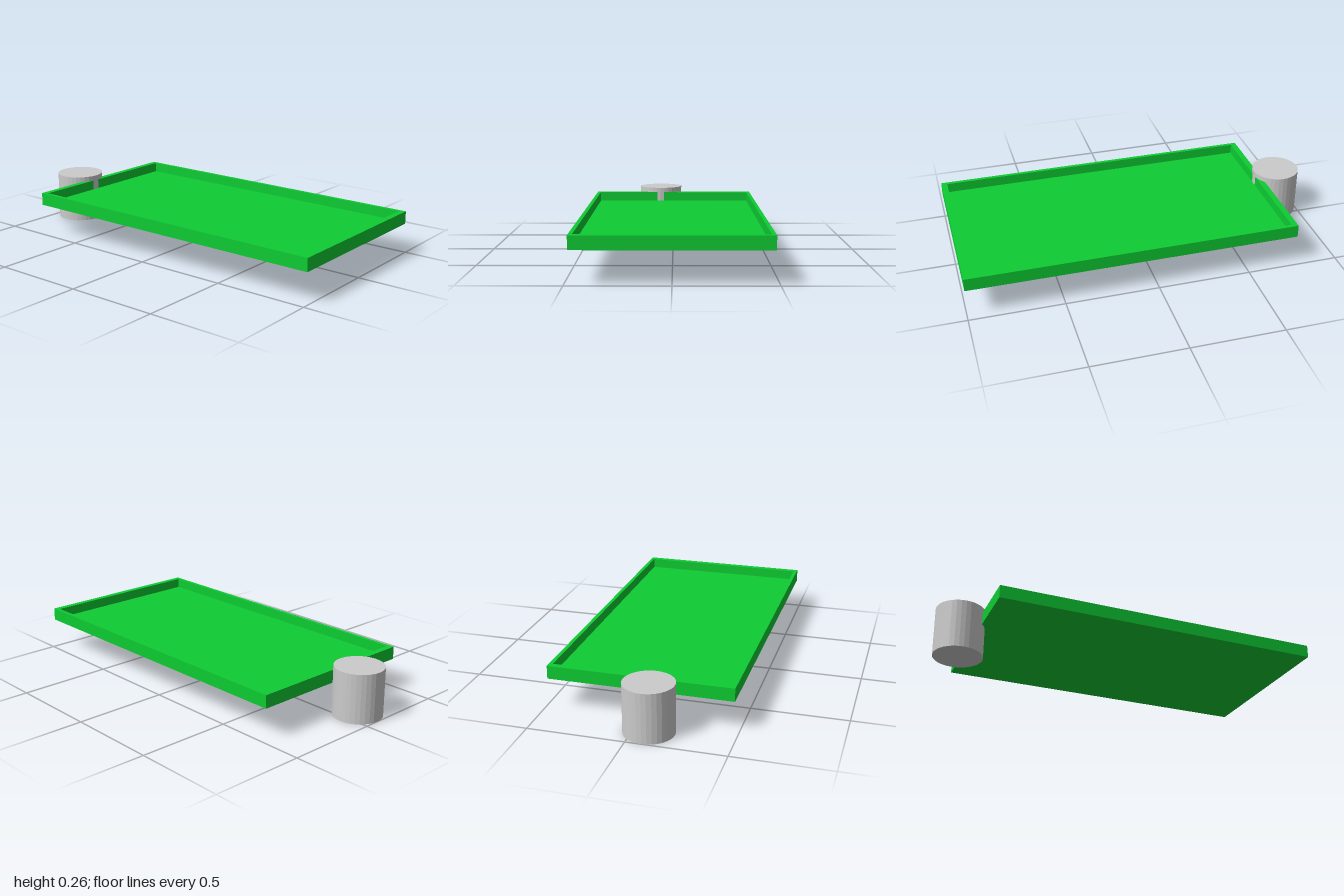
import * as THREE from 'three';

export function createModel() {
  const model = new THREE.Group();
  const green = new THREE.MeshStandardMaterial({ color: 0x0ecc33 });
  const grey = new THREE.MeshStandardMaterial({ color: 0xcccccc, flatShading: true });

  const add = (name, geometry, material, x, y, z, parent) => {
    const mesh = new THREE.Mesh(geometry, material);
    mesh.name = name;
    mesh.position.set(x, y, z);
    parent.add(mesh);
  };

  // Shallow tray: one continuous rim around a recessed floor
  const tray = new THREE.Group();
  tray.name = 'tray';
  tray.position.set(0.113, 0.166, 0);
  model.add(tray);

  const width = 1.774, depth = 0.956, height = 0.069, floor = 0.016;
  const rimX = 0.032, rimZ = 0.02;
  const corners = (w, d) => [[-w, -d], [w, -d], [w, d], [-w, d]]
    .map(([x, z]) => new THREE.Vector2(x / 2, z / 2));
  const outline = new THREE.Shape(corners(width, depth));
  const innerW = width - 2 * rimX, innerD = depth - 2 * rimZ;
  outline.holes.push(new THREE.Path(corners(innerW, innerD).reverse()));
  const rim = new THREE.ExtrudeGeometry(outline, { depth: height, bevelEnabled: false });
  rim.rotateX(-Math.PI / 2);
  add('trayRim', rim, green, 0, 0, 0, tray);
  add('trayFloor', new THREE.BoxGeometry(innerW, floor, innerD), green, 0, floor / 2, 0, tray);

  // Upright post set into the middle of the tray's short edge
  add('post', new THREE.CylinderGeometry(0.13, 0.13, 0.263, 32), grey, -0.87, 0.1315, 0.081, model);

  return model;
}
